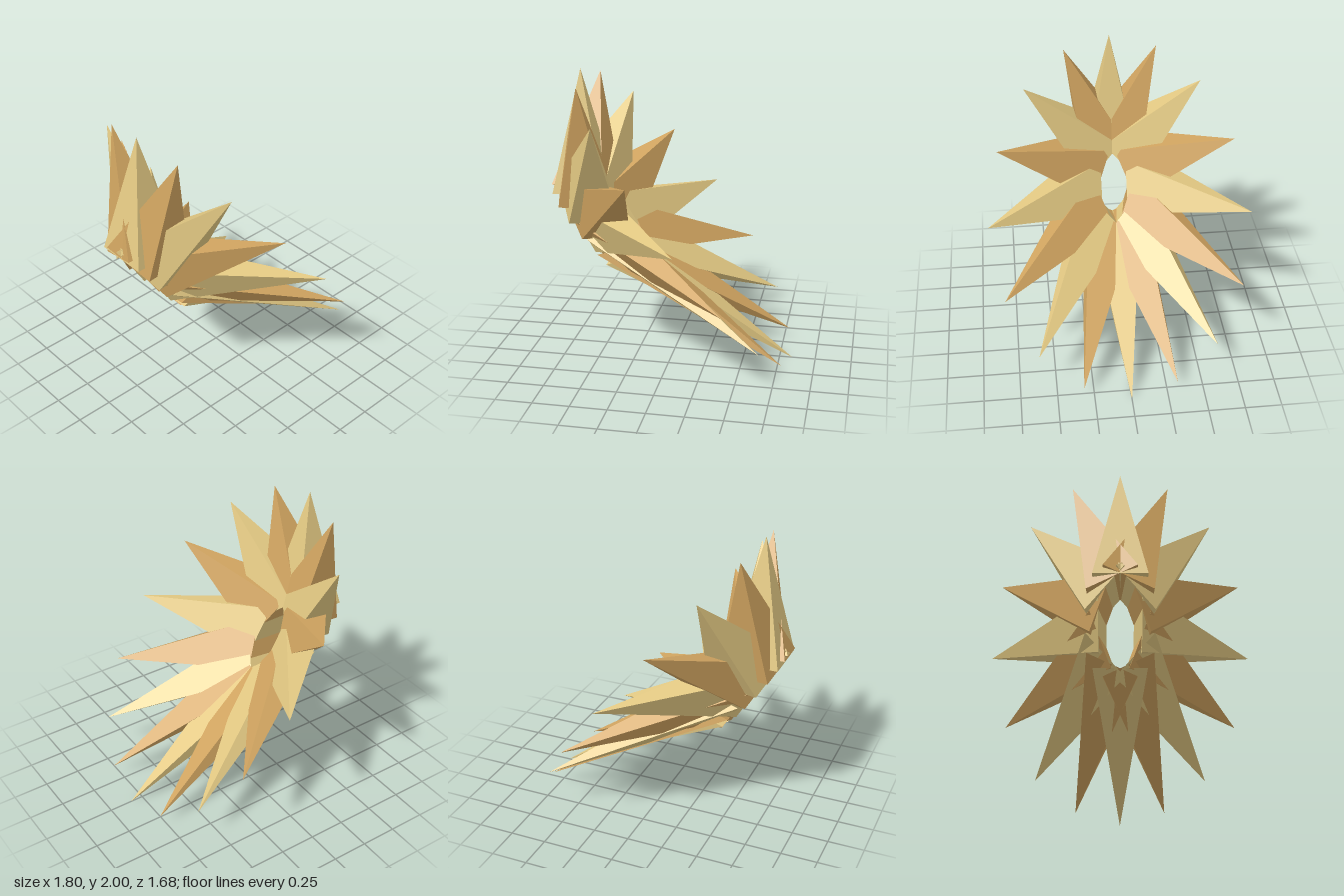
import * as THREE from 'three';

// Ray tips from the top ray round to the bottom one; the other side is mirrored
const TIPS = [
  [0, 2, 0.65], [0.32, 1.93, 0.595], [0.61, 1.735, 0.425], [0.815, 1.41, 0.16], [0.9, 1.01, -0.155],
  [0.815, 0.605, -0.45], [0.61, 0.28, -0.665], [0.32, 0.08, -0.79], [0, 0, -0.84],
];
const COUNT = 16;

// Four-sided pyramid: base corners on the front and back rims of the hub, apex at the tip
function rayGeometry(index) {
  const a = (index / COUNT) * Math.PI * 2;
  const s = Math.sin(a), c = Math.cos(a);
  const front = new THREE.Vector3(0.14 * s, 0.915 + 0.245 * c, 0.665 + 0.185 * c);
  const back = new THREE.Vector3(0.09 * s, 0.955 + 0.205 * c, 0.32 + 0.14 * c);
  const across = new THREE.Vector3(0.178 * c, -0.17 * s, -0.1 * s);
  const pullIn = new THREE.Vector3(0, 0, -0.03);

  const frontA = front.clone().sub(across).add(pullIn);
  const frontB = front.clone().add(across).add(pullIn);
  const backA = back.clone().addScaledVector(across, -0.95);
  const backB = back.clone().addScaledVector(across, 0.95);

  const mirrored = index > COUNT / 2;
  const tip = new THREE.Vector3(...TIPS[mirrored ? COUNT - index : index]);
  if (mirrored) tip.x *= -1;

  const corners = [
    frontA, frontB, tip, frontB, backB, tip, // front and one flank
    backB, backA, tip, backA, frontA, tip, // back and other flank
    frontA, backA, backB, frontA, backB, frontB, // cap lining the hole
  ];
  const geometry = new THREE.BufferGeometry().setFromPoints(corners);
  geometry.computeVertexNormals();
  return geometry;
}

export function createModel() {
  const model = new THREE.Group();
  model.name = 'spikedRosette';
  const pale = new THREE.MeshStandardMaterial({ color: 0xe3c983, flatShading: true });
  const amber = new THREE.MeshStandardMaterial({ color: 0xd0a460, flatShading: true });

  // Overlapping rays of alternating colour around an open centre
  for (let i = 0; i < COUNT; i++) {
    const ray = new THREE.Mesh(rayGeometry(i), i % 2 ? amber : pale);
    ray.name = `ray${i + 1}`;
    model.add(ray);
  }
  return model;
}
